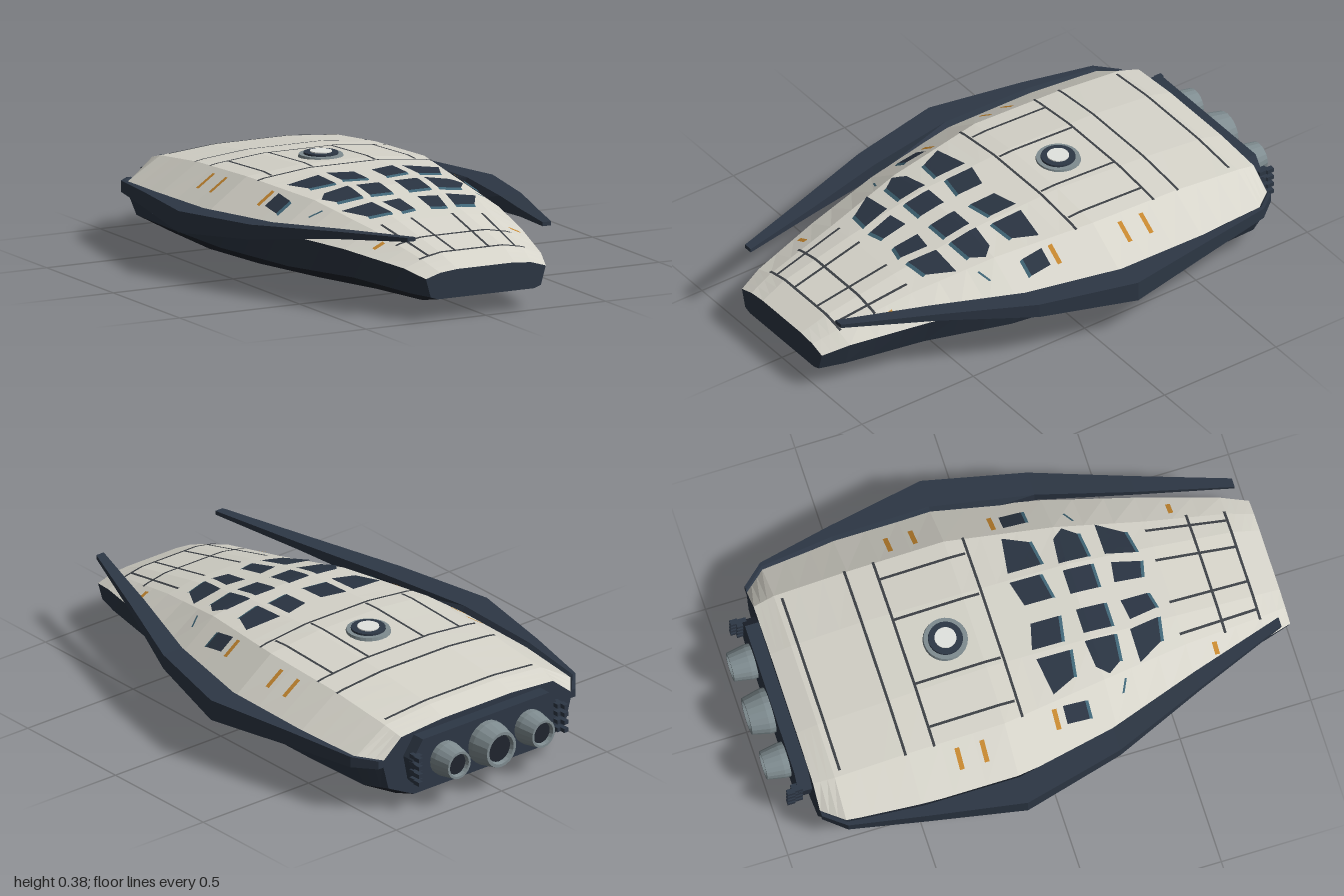
import * as THREE from 'three';

const mat = (name, color) =>
  new THREE.MeshStandardMaterial({ name, color, flatShading: true, side: THREE.DoubleSide });

const M = {
  cream: mat('cream', 0xd6d4ca), navy: mat('navy', 0x2d3745), keel: mat('keel', 0x20252e),
  glass: mat('glass', 0x2a3442), teal: mat('teal', 0x3f6475), seam: mat('seam', 0x3c4045),
  orange: mat('orange', 0xc4862f), steel: mat('steel', 0x7f8c90), white: mat('white', 0xe2e4e0),
};

// Hull stations: z, top y, inner x, shoulder x, y, edge x, y, chine x, y, bottom x, y
const STATIONS = [
  [1.0, 0.185, 0.12, 0.19, 0.178, 0.25, 0.16, 0.23, 0.09, 0.2, 0.08],
  [0.9, 0.225, 0.13, 0.21, 0.21, 0.285, 0.185, 0.26, 0.09, 0.21, 0.06],
  [0.6, 0.29, 0.14, 0.25, 0.27, 0.37, 0.21, 0.33, 0.1, 0.24, 0.05],
  [0.27, 0.35, 0.15, 0.31, 0.325, 0.46, 0.22, 0.42, 0.09, 0.29, 0.035],
  [-0.13, 0.367, 0.15, 0.37, 0.345, 0.545, 0.22, 0.48, 0.09, 0.32, 0.015],
  [-0.5, 0.35, 0.16, 0.37, 0.33, 0.54, 0.22, 0.48, 0.09, 0.32, 0.0],
  [-0.78, 0.32, 0.16, 0.37, 0.302, 0.52, 0.21, 0.47, 0.09, 0.32, 0.01],
  [-0.86, 0.295, 0.16, 0.36, 0.28, 0.45, 0.205, 0.42, 0.09, 0.3, 0.03],
];

function stationAt(z) {
  let i = 0;
  while (i < STATIONS.length - 2 && z < STATIONS[i + 1][0]) i++;
  const a = STATIONS[i], b = STATIONS[i + 1], t = (z - a[0]) / (b[0] - a[0]);
  return a.map((v, k) => v + (b[k] - v) * t);
}

// Height of the upper hull under a point
function deckY(x, z) {
  const [, yt, xi, xs, ys, xe, ye] = stationAt(z), ax = Math.abs(x);
  if (ax <= xi) return yt;
  if (ax <= xs) return yt + ((ys - yt) * (ax - xi)) / (xs - xi);
  return ys + ((ye - ys) * (ax - xs)) / (xe - xs);
}

// Skin over rows of points, optionally capped at both ends
function loft(rows, caps = false) {
  const pos = [], idx = [], n = rows[0].length;
  rows.forEach(r => r.forEach(p => pos.push(...p)));
  for (let i = 0; i < rows.length - 1; i++)
    for (let j = 0; j < n - 1; j++) {
      const a = i * n + j, d = a + n;
      idx.push(a, d, d + 1, a, d + 1, a + 1);
    }
  const last = (rows.length - 1) * n;
  if (caps) for (let j = 1; j < n - 1; j++) idx.push(0, j, j + 1, last, last + j + 1, last + j);
  const g = new THREE.BufferGeometry();
  g.setAttribute('position', new THREE.Float32BufferAttribute(pos, 3));
  g.setIndex(idx);
  const flat = g.toNonIndexed();
  flat.computeVertexNormals();
  return flat;
}

export function createModel() {
  const root = new THREE.Group();
  root.name = 'spaceship';
  const add = (name, geo, m) => {
    const mesh = new THREE.Mesh(geo, m);
    mesh.name = name;
    root.add(mesh);
    return mesh;
  };

  // Thin plate draped on the deck; corners [x, z, lift]: rear left, rear right, front right, front left
  function plate(name, c, m, lift = 0.005, nu = 4, nv = 4) {
    const rows = [];
    for (let i = 0; i <= nv; i++) {
      const row = [], v = i / nv;
      for (let j = 0; j <= nu; j++) {
        const u = j / nu;
        const mix = k => {
          const [a, b, cc, d] = c.map(p => p[k] ?? lift);
          return (a * (1 - u) + b * u) * (1 - v) + (d * (1 - u) + cc * u) * v;
        };
        const x = mix(0), z = mix(1);
        row.push([x, deckY(x, z) + mix(2), z]);
      }
      rows.push(row);
    }
    add(name, loft(rows), m);
  }
  const flip = ([a, b, c, d]) => [b, a, d, c].map(([x, ...r]) => [-x, ...r]);
  const platePair = (name, c, ...rest) => {
    plate(name + 'Right', c, ...rest);
    plate(name + 'Left', flip(c), ...rest);
  };
  const rect = (x0, x1, z0, z1) => [[x0, z0], [x1, z0], [x1, z1], [x0, z1]];

  // Hull: upper shell, dark sides and keel
  const rows = [];
  for (let i = 0; i < STATIONS.length - 1; i++)
    for (let k = 0; k < 3; k++)
      rows.push(stationAt(STATIONS[i][0] + ((STATIONS[i + 1][0] - STATIONS[i][0]) * k) / 3));
  rows.push(STATIONS[STATIONS.length - 1]);
  const upper = ([z, yt, xi, xs, ys, xe, ye]) => [
    [xe, ye, z], [xs, ys, z], [xi, yt, z], [-xi, yt, z], [-xs, ys, z], [-xe, ye, z]];
  add('upperHull', loft(rows.map(upper)), M.cream);
  const side = s => ([z, , , , , xe, ye, xm, ym]) =>
    s > 0 ? [[xm, ym, z], [xe, ye, z]] : [[-xe, ye, z], [-xm, ym, z]];
  add('hullSideLeft', loft(rows.map(side(1))), M.navy);
  add('hullSideRight', loft(rows.map(side(-1))), M.navy);
  add('keel', loft(rows.map(([z, , , , , , , xm, ym, xb, yb]) =>
    [[-xm, ym, z], [-xb, yb, z], [xb, yb, z], [xm, ym, z]])), M.keel);
  const ring = s => [...upper(s), [-s[7], s[8], s[0]], [-s[9], s[10], s[0]], [s[9], s[10], s[0]], [s[7], s[8], s[0]]];
  add('noseFace', loft([ring(STATIONS[0])], true).clone(), M.navy);

  // Side fins sweeping up to free tips: z, inner x, outer x, top y, bottom y
  const FIN = [
    [0.95, 0.265, 0.3, 0.31, 0.295], [0.6, 0.365, 0.43, 0.284, 0.255],
    [0.25, 0.475, 0.565, 0.256, 0.2], [-0.13, 0.55, 0.655, 0.245, 0.165],
    [-0.5, 0.548, 0.59, 0.238, 0.18], [-0.78, 0.52, 0.535, 0.225, 0.183],
    [-0.86, 0.45, 0.468, 0.215, 0.183],
  ];
  const finRow = ([z, xi, xo, yt, yb]) => {
    const inb = z < 0.2 ? xi - 0.05 : xi;
    return [[xo, yb, z], [xo, yt, z], [xi, yt, z], [inb, yb, z], [xo, yb, z]];
  };
  add('finLeft', loft(FIN.map(finRow), true), M.navy);
  add('finRight', loft(FIN.map(f => finRow(f).map(([x, y, z]) => [-x, y, z]).reverse()), true), M.navy);

  // Canopy windows, each with a teal front lip
  const WINDOWS = [
    [[-0.317, 0.074], [-0.174, 0.053], [-0.174, 0.18], [-0.275, 0.165]],
    [[-0.137, 0.048], [-0.037, 0.074], [-0.037, 0.18], [-0.137, 0.162]],
    [[-0.26, 0.254], [-0.158, 0.243], [-0.158, 0.355], [-0.26, 0.345]],
    rect(-0.127, -0.032, 0.249, 0.355),
    [[-0.28, 0.418], [-0.153, 0.418], [-0.132, 0.53], [-0.222, 0.514]],
    [[-0.116, 0.43], [-0.037, 0.418], [-0.032, 0.52], [-0.095, 0.535]],
    rect(-0.42, -0.362, 0.095, 0.18),
  ];
  for (const w of WINDOWS) {
    platePair('window', w, M.glass, 0.008);
    const [, , c, d] = w;
    platePair('windowLip', [[...d, 0.008], [...c, 0.008], [c[0], c[1] + 0.012, 0.003], [d[0], d[1] + 0.012, 0.003]], M.teal, 0, 4, 1);
  }
  platePair('windowCorner', [[-0.295, 0.296], [-0.26, 0.254], [-0.26, 0.345], [-0.295, 0.296]], M.glass, 0.008);
  platePair('slit', [[-0.365, 0.322], [-0.32, 0.345], [-0.32, 0.353], [-0.365, 0.33]], M.teal);

  // Panel seams across and along the deck
  const W = 0.005;
  for (const [x, z] of [[0.35, -0.755], [0.375, -0.51], [0.375, -0.4], [0.365, -0.06], [0.24, 0.755], [0.22, 0.895]])
    plate('crossSeam', rect(-x, x, z - W, z + W), M.seam, 0.004, 24, 1);
  for (const [x0, z0, x1, z1] of [[-0.3, -0.4, -0.3, -0.07], [-0.13, -0.4, -0.13, -0.07], [-0.21, 0.59, -0.18, 0.9], [-0.085, 0.59, -0.07, 0.9]])
    platePair('longSeam', [[x0 - W, z0], [x0 + W, z0], [x1 + W, z1], [x1 - W, z1]], M.seam, 0.004, 1, 16);

  // Orange marker strips
  for (const [x0, x1, z] of [[-0.47, -0.4, -0.323], [-0.47, -0.4, -0.228], [-0.43, -0.365, 0.06], [-0.305, -0.262, 0.705]])
    platePair('marker', rect(x0, x1, z - 0.009, z + 0.009), M.orange, 0.006);

  // Round deck hatch
  const hatchY = deckY(0, -0.24);
  [[0.084, 0.012, M.steel], [0.066, 0.019, M.navy], [0.042, 0.023, M.white]].forEach(([r, h, m], i) =>
    add('hatch' + (i + 1), new THREE.CylinderGeometry(r * 0.96, r, h, 24).translate(0, hatchY + h / 2 - 0.002, -0.24), m));

  // Stern wall and engine block
  const outline = pts => new THREE.Shape(pts.map(([x, y]) => new THREE.Vector2(x, y)));
  add('sternWall', new THREE.ExtrudeGeometry(outline(ring(STATIONS[7])), { depth: 0.004, bevelEnabled: false })
    .translate(0, 0, -0.86), M.navy);
  const half = [[0.28, 0.075], [0.33, 0.1], [0.35, 0.2], [0.3, 0.272]];
  const block = [...half, ...half.map(([x, y]) => [-x, y]).reverse()];
  add('engineBlock', new THREE.ExtrudeGeometry(outline(block), { depth: 0.055, bevelEnabled: false })
    .translate(0, 0, -0.912), M.navy);
  for (const s of [-1, 1])
    for (let i = 0; i < 4; i++) {
      add('sternRib', new THREE.BoxGeometry(0.03, 0.016, 0.04).translate(s * 0.335, 0.12 + i * 0.032, -0.915), M.navy);
      add('sternRibTip', new THREE.BoxGeometry(0.02, 0.016, 0.03).translate(s * 0.345, 0.12 + i * 0.032, -0.94), M.navy);
    }

  // Three hollow nozzles with dark throats
  for (const [x, r] of [[-0.2, 0.066], [0, 0.085], [0.2, 0.066]]) {
    const y = 0.168, h = 0.09;
    const profile = [[r, 0], [r, 0.025], [r * 0.82, h], [r * 0.68, h], [r * 0.6, h - 0.02]];
    const place = g => g.rotateX(-Math.PI / 2).translate(x, y, -0.91);
    add('nozzle', place(new THREE.LatheGeometry(profile.map(p => new THREE.Vector2(...p)), 20)), M.steel);
    add('nozzleThroat', place(new THREE.CylinderGeometry(r * 0.68, r * 0.68, 0.06, 20).translate(0, 0.045, 0)), M.keel);
  }
  return root;
}
